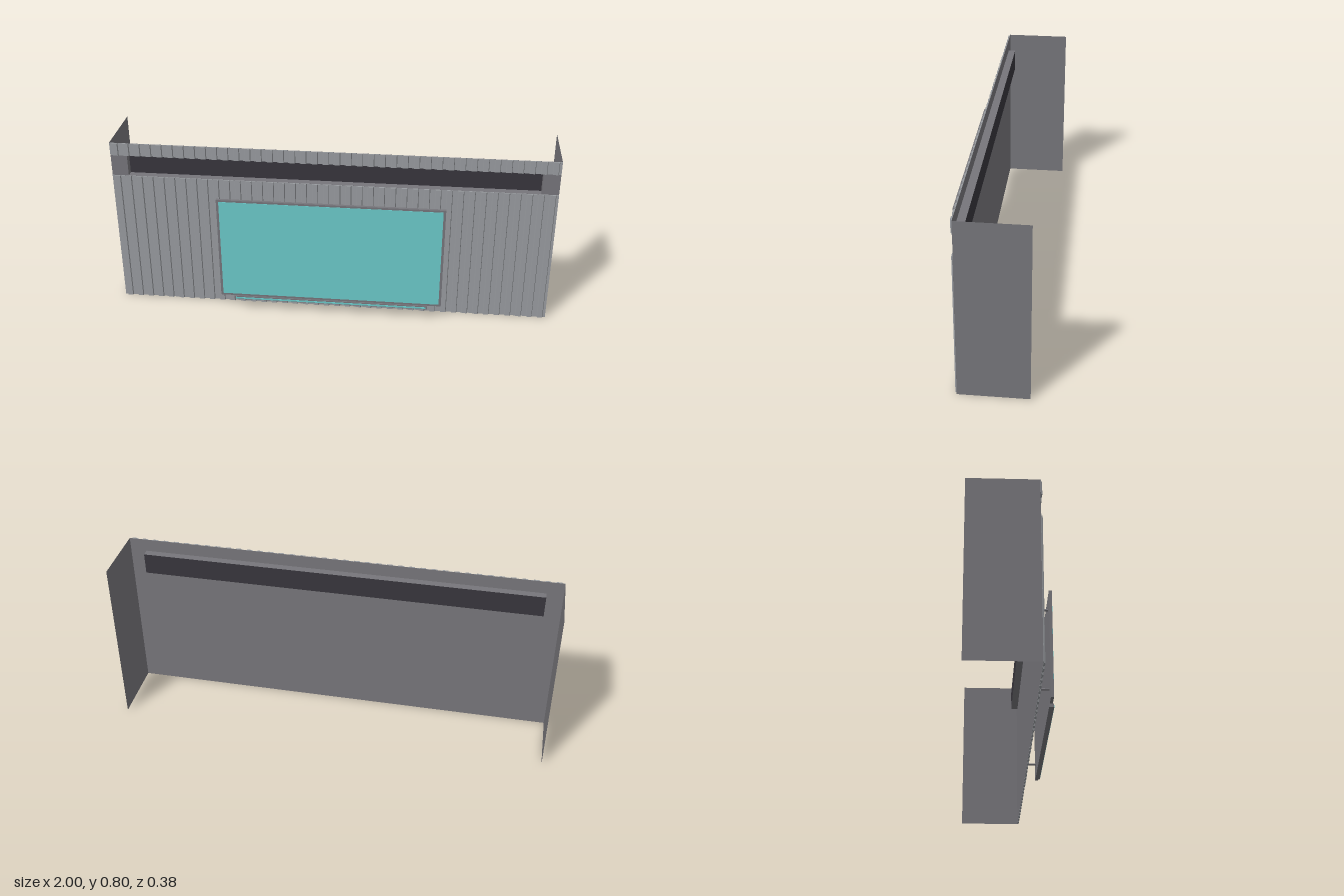
import * as THREE from 'three';

const mat = (name, color, side = THREE.FrontSide) => {
  const m = new THREE.MeshStandardMaterial({ color, side });
  m.name = name;
  return m;
};

export function createModel() {
  const model = new THREE.Group();
  model.name = 'wallPanelDisplay';
  const grey = mat('panelGrey', 0x77767b, THREE.DoubleSide);
  const light = mat('claddingGrey', 0x999ca0, THREE.DoubleSide);
  const dark = mat('recessDark', 0x38363d, THREE.DoubleSide);
  const teal = mat('screenTeal', 0x6ccaca);

  const add = (name, geometry, material, parent = model) => {
    const mesh = new THREE.Mesh(geometry, material);
    mesh.name = name;
    parent.add(mesh);
    return mesh;
  };
  // Box given by its minimum and maximum on each axis
  const box = (name, x0, x1, y0, y1, z0, z1, material, parent) => {
    const mesh = add(name, new THREE.BoxGeometry(x1 - x0, y1 - y0, z1 - z0), material, parent);
    mesh.position.set((x0 + x1) / 2, (y0 + y1) / 2, (z0 + z1) / 2);
    return mesh;
  };

  const wallZ = 0.107, slatZ = 0.115;
  const slotX = 0.925, slotLow = 0.64, slotHigh = 0.74, top = 0.8;

  // Thin front wall with a long slot near the top
  const outline = new THREE.Shape([
    new THREE.Vector2(-1, 0), new THREE.Vector2(1, 0),
    new THREE.Vector2(1, top), new THREE.Vector2(-1, top),
  ]);
  outline.holes.push(new THREE.Path([
    new THREE.Vector2(-slotX, slotLow), new THREE.Vector2(-slotX, slotHigh),
    new THREE.Vector2(slotX, slotHigh), new THREE.Vector2(slotX, slotLow),
  ]));
  add('frontWall', new THREE.ShapeGeometry(outline), grey).position.z = wallZ;

  // Side walls reaching backwards
  for (const s of [-1, 1]) {
    const side = add(s > 0 ? 'leftWall' : 'rightWall', new THREE.PlaneGeometry(0.297, top), grey);
    side.rotation.y = s * Math.PI / 2;
    side.position.set(s, top / 2, -0.0415);
  }

  // Recess behind the slot: grey rim, dark back
  const recess = new THREE.Group();
  recess.name = 'recess';
  model.add(recess);
  const backZ = 0.073;
  add('recessBack', new THREE.PlaneGeometry(2 * slotX, slotHigh - slotLow), dark, recess)
    .position.set(0, (slotLow + slotHigh) / 2, backZ);
  for (const y of [slotLow, slotHigh]) {
    const rim = add('recessRim', new THREE.PlaneGeometry(2 * slotX, wallZ - backZ), grey, recess);
    rim.rotation.x = -Math.PI / 2;
    rim.position.set(0, y, (wallZ + backZ) / 2);
  }
  for (const s of [-1, 1]) {
    const end = add('recessEnd', new THREE.PlaneGeometry(wallZ - backZ, slotHigh - slotLow), grey, recess);
    end.rotation.y = s * Math.PI / 2;
    end.position.set(s * slotX, (slotLow + slotHigh) / 2, (wallZ + backZ) / 2);
  }

  // Corrugated cladding: one stepped sheet below the slot and one above
  const ribs = 40, pitch = 2 / ribs, ribWidth = 0.028, bevel = 0.003;
  const cladding = (name, y0, y1) => {
    const valley = wallZ + 0.002;
    const profile = new THREE.Shape();
    profile.moveTo(-1, -wallZ - 0.0005);
    profile.lineTo(-1, -valley);
    for (let i = 0; i < ribs; i++) {
      const c = -1 + (i + 0.5) * pitch, h = ribWidth / 2;
      profile.lineTo(c - h, -valley);
      profile.lineTo(c - h + bevel, -slatZ);
      profile.lineTo(c + h - bevel, -slatZ);
      profile.lineTo(c + h, -valley);
    }
    profile.lineTo(1, -valley);
    profile.lineTo(1, -wallZ - 0.0005);
    const sheet = add(name, new THREE.ExtrudeGeometry(profile, { depth: y1 - y0, bevelEnabled: false }), light);
    sheet.rotation.x = -Math.PI / 2;
    sheet.position.y = y0;
  };
  cladding('lowerCladding', 0, slotLow);
  cladding('upperCladding', slotHigh, top);

  // Screen held in front of the wall
  const display = new THREE.Group();
  display.name = 'display';
  model.add(display);
  box('screenFrame', -0.513, 0.513, 0.077, 0.577, 0.173, 0.186, grey, display);
  box('screen', -0.502, 0.502, 0.087, 0.568, 0.185, 0.1875, teal, display);

  // Light bar under the screen
  box('lowerBar', -0.45, 0.45, 0.06, 0.076, 0.17, 0.191, grey, display);
  box('lowerBarStrip', -0.443, 0.443, 0.063, 0.071, 0.19, 0.1925, teal, display);

  // Four mounting rods
  for (const x of [-0.45, 0.45]) {
    for (const y of [0.139, 0.514]) {
      const rod = add('mountingRod', new THREE.CylinderGeometry(0.005, 0.005, 0.067, 12), grey, display);
      rod.rotation.x = Math.PI / 2;
      rod.position.set(x, y, 0.1405);
    }
  }
  return model;
}
